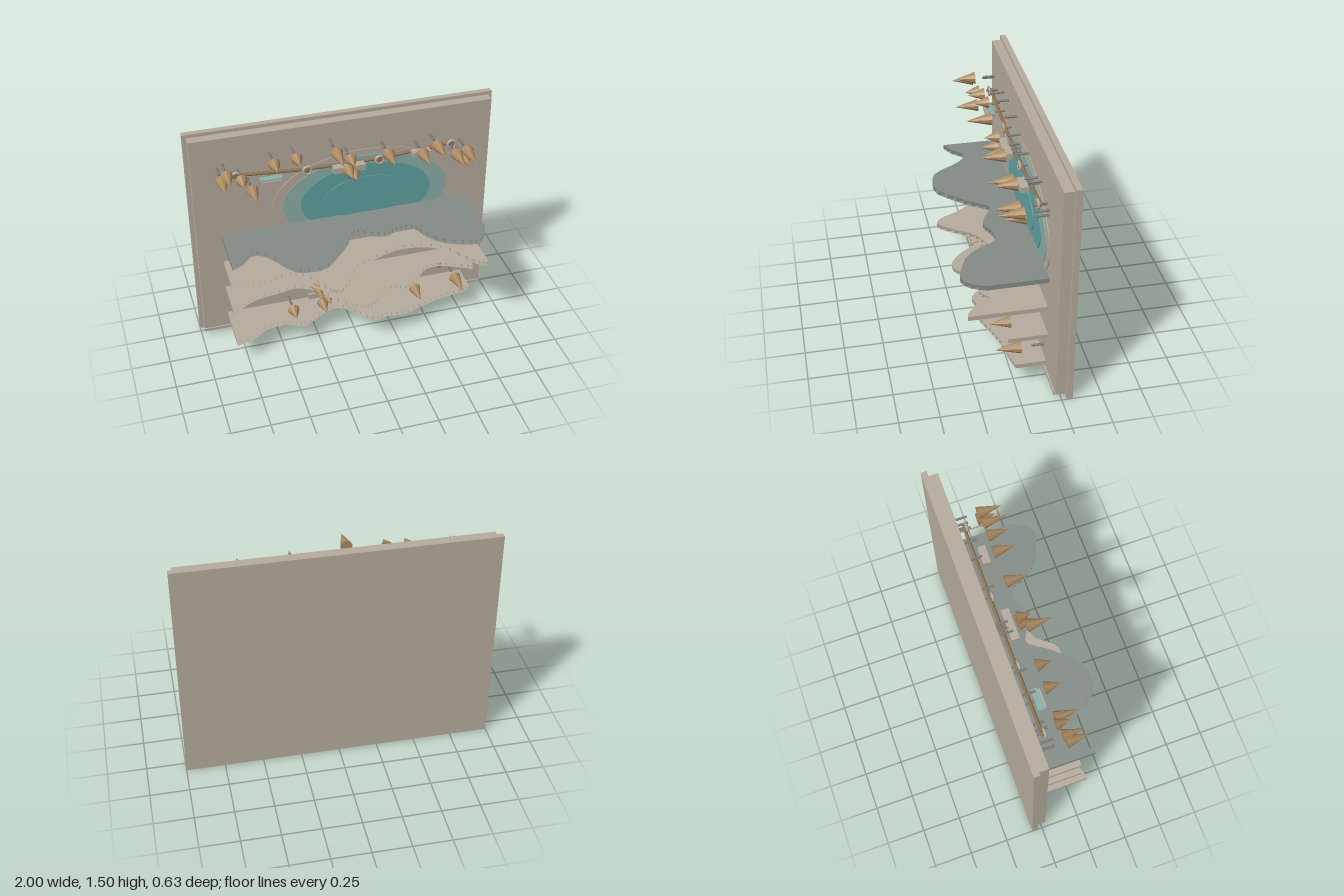
import * as THREE from 'three';

const mat = (name, color, side = THREE.FrontSide, flat = false) => {
  const m = new THREE.MeshStandardMaterial({ color, side, flatShading: flat });
  m.name = name;
  return m;
};

export function createModel() {
  const root = new THREE.Group();
  root.name = 'reliefPanel';
  const stone = mat('stone', 0xb4aa9c);
  const stoneSheet = mat('stoneSheet', 0xb4aa9c, THREE.DoubleSide, true);
  const slate = mat('slateSheet', 0x838b86, THREE.DoubleSide, true);
  const paleWater = mat('paleWater', 0x8aada7);
  const water = mat('water', 0x60a0a0);
  const bronze = mat('bronze', 0xa8875f, THREE.FrontSide, true);
  const rail = mat('railBrown', 0x8f7250);
  const steel = mat('steel', 0x7d7b77);

  const add = (name, geo, material, x, y, z) => {
    const m = new THREE.Mesh(geo, material);
    m.name = name;
    m.position.set(x, y, z);
    root.add(m);
    return m;
  };
  // Box given by its limits
  const box = (name, material, x0, x1, y0, y1, z0, z1) =>
    add(name, new THREE.BoxGeometry(x1 - x0, y1 - y0, z1 - z0), material,
      (x0 + x1) / 2, (y0 + y1) / 2, (z0 + z1) / 2);
  // Cylinder or cone lying along z
  const alongZ = (name, material, rFront, rBack, x, y, z0, z1, sides) =>
    add(name, new THREE.CylinderGeometry(rFront, rBack, z1 - z0, sides).rotateX(Math.PI / 2),
      material, x, y, (z0 + z1) / 2);

  // Backing boards and lower lip
  box('backBoard', stone, -1, 1, 0, 1.505, -0.318, -0.28);
  box('frontBoard', stone, -0.975, 0.975, 0.027, 1.483, -0.28, -0.218);
  box('lowerLip', stone, -0.975, 0.975, 0.027, 0.047, -0.212, -0.202);
  box('plaque', stone, -0.27, 0.26, 0.07, 0.21, -0.18, -0.165);

  // Stepped oval pool
  [['poolRim', stone, 0.617, 0.343, -0.205], ['shallowWater', paleWater, 0.55, 0.3, -0.2],
    ['deepWater', water, 0.435, 0.24, -0.194], ['innerWater', water, 0.28, 0.15, -0.187]]
    .forEach(([name, material, rx, ry, z]) => {
      const disc = alongZ(name, material, 1, 1, 0.137, 0.92, z - 0.005, z, 64);
      disc.scale.set(rx, ry, 1);
    });

  // Open-fronted wavy shelf: two sheets joined by cross ribs
  function shelf(name, material, top, bottom, zBack, profile) {
    const pts = new THREE.SplineCurve(profile.map(p => new THREE.Vector2(...p))).getPoints(44);
    const v = [];
    const quad = (a, b, c, d) => v.push(...a, ...b, ...c, ...a, ...c, ...d);
    pts.forEach((p, i) => {
      quad([p.x, bottom, p.y], [p.x, bottom, zBack], [p.x, top, zBack], [p.x, top, p.y]);
      const q = pts[i + 1];
      if (!q) return;
      quad([p.x, top, zBack], [p.x, top, p.y], [q.x, top, q.y], [q.x, top, zBack]);
      quad([p.x, bottom, p.y], [p.x, bottom, zBack], [q.x, bottom, zBack], [q.x, bottom, q.y]);
    });
    const g = new THREE.BufferGeometry();
    g.setAttribute('position', new THREE.Float32BufferAttribute(v, 3));
    g.computeVertexNormals();
    add(name, g, material, 0, 0, 0);
  }
  shelf('topShelf', slate, 0.798, 0.766, -0.195, [
    [-0.82, 0.155], [-0.74, 0.11], [-0.67, 0.04], [-0.58, 0.09], [-0.48, 0.25], [-0.4, 0.3],
    [-0.27, 0.3], [-0.16, 0.2], [-0.08, 0.11], [-0.02, 0.02], [0.03, 0], [0.11, 0.05],
    [0.19, 0.075], [0.25, 0.05], [0.32, 0.03], [0.39, 0.05], [0.43, 0.14], [0.51, 0.24],
    [0.62, 0.29], [0.71, 0.315], [0.78, 0.27], [0.82, 0.185]]);
  shelf('upperShelf', stoneSheet, 0.588, 0.558, -0.19, [
    [-0.82, 0.07], [-0.7, 0.09], [-0.6, 0.1], [-0.5, 0.05], [-0.42, 0.04], [-0.32, 0.12],
    [-0.24, 0.27], [-0.2, 0.305], [-0.16, 0.3], [-0.08, 0.2], [0, 0.09], [0.12, 0.03],
    [0.3, -0.03], [0.45, -0.02], [0.6, 0.05], [0.7, 0.2], [0.78, 0.28], [0.82, 0.29]]);
  shelf('lowerShelf', stoneSheet, 0.378, 0.35, -0.198, [
    [-0.82, 0.08], [-0.72, 0], [-0.63, -0.04], [-0.5, -0.06], [-0.36, -0.08], [-0.24, 0],
    [-0.12, 0.16], [-0.04, 0.23], [0.02, 0.247], [0.08, 0.22], [0.16, 0.12], [0.24, 0.1],
    [0.32, 0.13], [0.4, 0.07], [0.5, -0.03], [0.6, -0.05], [0.73, 0], [0.82, 0.05]]);
  shelf('bottomShelf', stoneSheet, 0.171, 0.142, -0.19, [
    [-0.82, 0.135], [-0.7, 0.1], [-0.6, 0.03], [-0.46, 0.02], [-0.36, 0.07], [-0.25, 0],
    [-0.1, -0.06], [0, 0.03], [0.1, 0.135], [0.2, 0.12], [0.32, 0.13], [0.46, 0.08],
    [0.6, 0.04], [0.74, 0.02], [0.82, 0]]);

  // Cone trees pointing forward, each with a pin behind: x, y, base z, tip z
  [[-0.815, 1.29, -0.05, 0.09], [-0.78, 1.315, -0.06, 0.06], [-0.69, 1.26, -0.07, 0.02],
    [-0.63, 1.19, -0.05, 0.1], [-0.485, 1.345, -0.065, 0.04], [-0.345, 1.36, -0.065, 0.03],
    [-0.1, 1.375, -0.035, 0.125], [-0.005, 1.3, -0.06, 0.03], [-0.02, 1.225, -0.06, 0.05],
    [0.015, 1.19, -0.06, 0.02], [0.235, 1.305, -0.05, 0.1], [0.46, 1.27, -0.05, 0.1],
    [0.56, 1.305, -0.05, 0.085], [0.685, 1.23, -0.04, 0.115], [0.74, 1.19, -0.06, 0.06],
    [0.76, 1.235, -0.05, 0.11], [-0.235, 0.35, -0.06, 0.1], [-0.165, 0.37, -0.06, 0.05],
    [-0.12, 0.35, -0.06, 0.06], [-0.17, 0.265, -0.065, 0.04], [-0.2, 0.21, -0.065, 0.05],
    [-0.4, 0.195, -0.06, 0.04], [0.44, 0.2, -0.05, 0.09], [0.73, 0.23, -0.05, 0.115]]
    .forEach(([x, y, z0, z1]) => {
      alongZ('tree', bronze, 0, 0.04, x, y, z0, z1, 10);
      alongZ('treePin', steel, 0.008, 0.008, x, y, -0.2, -0.12, 8);
    });
  add('ball', new THREE.SphereGeometry(0.028, 16, 12), bronze, 0.62, 0.34, -0.09);
  alongZ('ballPin', steel, 0.007, 0.007, 0.62, 0.34, -0.2, -0.12, 8);

  // Walkway rail with ring stations
  const stops = [[-0.71, 1.245], [-0.26, 1.21], [0.21, 1.207], [0.69, 1.24]];
  stops.forEach(([x, y], i) => {
    add('ring', new THREE.TorusGeometry(0.026, 0.009, 8, 24), stone, x, y, -0.145);
    alongZ('ringHub', rail, 0.018, 0.018, x, y, -0.165, -0.14, 16);
    alongZ('ringPin', steel, 0.007, 0.007, x, y, -0.2, -0.15, 8);
    if (!i) return;
    const [px, py] = stops[i - 1];
    const path = new THREE.LineCurve3(new THREE.Vector3(px, py, -0.16), new THREE.Vector3(x, y, -0.16));
    add('rail', new THREE.TubeGeometry(path, 1, 0.011, 8), rail, 0, 0, 0);
  });

  // Pavilion blocks with a coloured ledge
  box('leftPavilion', stone, -0.56, -0.44, 1.188, 1.215, -0.13, -0.075);
  box('leftLedge', paleWater, -0.57, -0.43, 1.215, 1.223, -0.13, -0.085);
  box('middlePavilion', stone, -0.105, 0.1, 1.19, 1.23, -0.13, -0.08);
  box('middleLedge', water, -0.08, 0.08, 1.18, 1.19, -0.13, -0.09);
  box('rightPavilion', stone, 0.41, 0.53, 1.22, 1.255, -0.13, -0.08);
  [-0.5, 0, 0.47].forEach((x, i) =>
    alongZ('pavilionPin', steel, 0.007, 0.007, x, [1.2, 1.21, 1.237][i], -0.205, -0.13, 8));

  return root;
}
